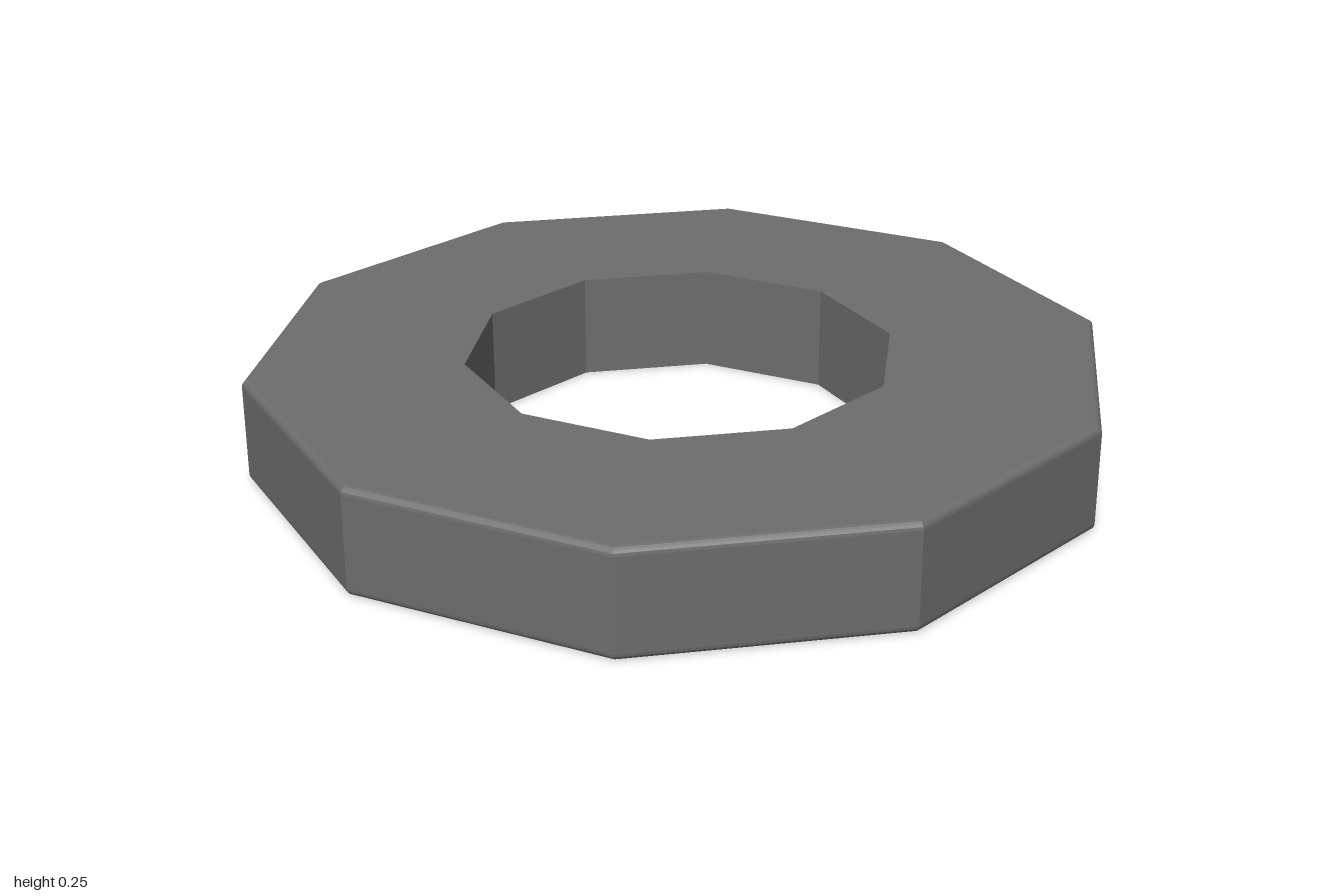
import * as THREE from 'three';

const SIDES = 10, OUTER = 1, INNER = 0.5, HEIGHT = 0.25, BEVEL = 0.017;

// Quarter-round corner of the outer rim, as profile points
function roundedCorner(y, startAngle, steps = 4) {
  return Array.from({ length: steps + 1 }, (_, i) => {
    const a = startAngle + (i / steps) * Math.PI / 2;
    return new THREE.Vector2(OUTER - BEVEL + Math.cos(a) * BEVEL, y + Math.sin(a) * BEVEL);
  });
}

export function createModel() {
  const group = new THREE.Group();
  group.name = 'decagonalRing';

  // Closed cross-section: sharp bore, rounded outer edges
  const profile = [
    new THREE.Vector2(INNER, 0),
    ...roundedCorner(BEVEL, -Math.PI / 2),
    ...roundedCorner(HEIGHT - BEVEL, 0),
    new THREE.Vector2(INNER, HEIGHT),
    new THREE.Vector2(INNER, 0),
  ];

  // Ten-sided sweep with corners on the x axis
  const ring = new THREE.Mesh(
    new THREE.LatheGeometry(profile, SIDES, Math.PI / 2),
    new THREE.MeshStandardMaterial({ color: 0x6d6d6d, flatShading: true })
  );
  ring.name = 'ring';
  group.add(ring);
  return group;
}
